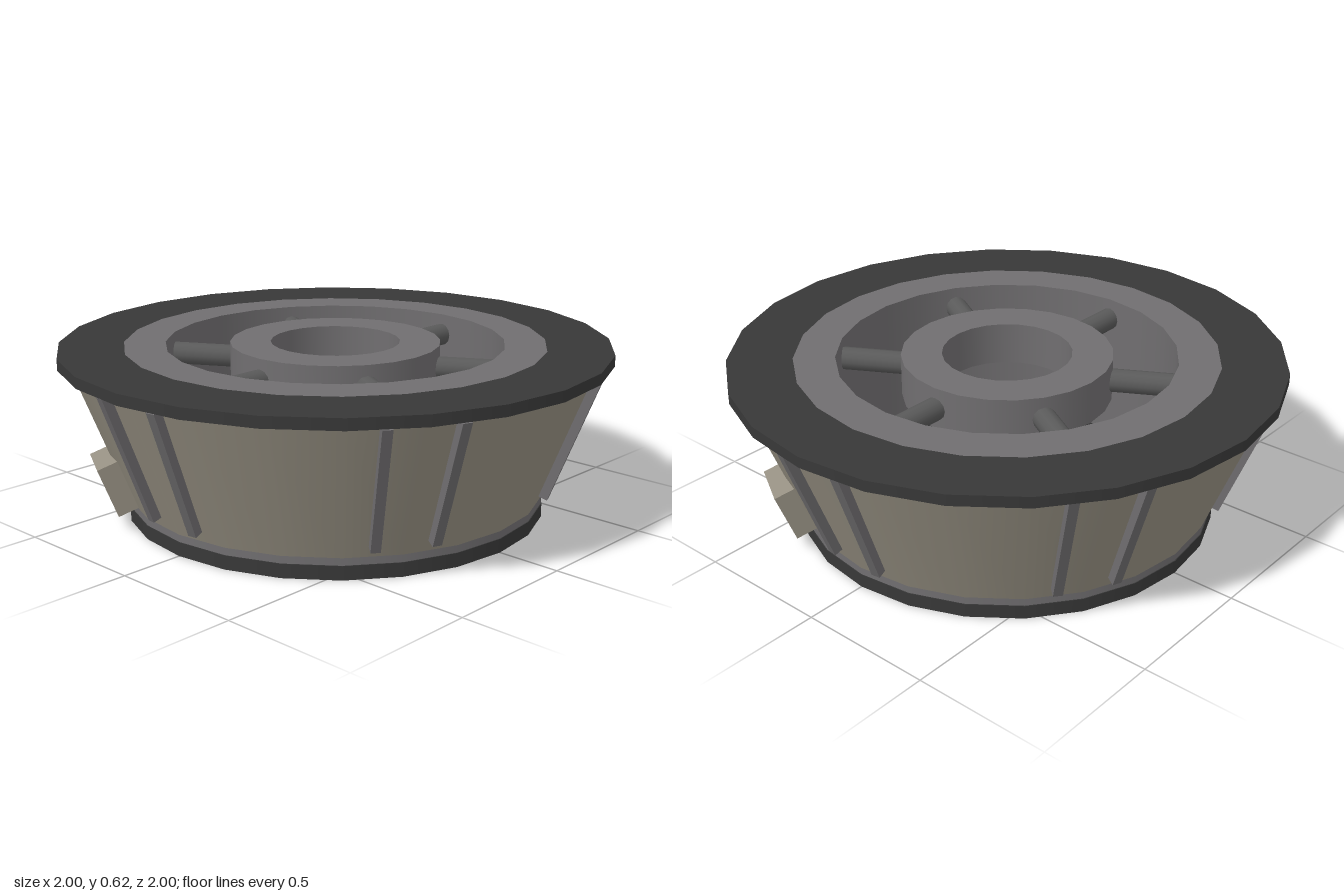
import * as THREE from 'three';
import { mergeGeometries } from 'three/addons/utils/BufferGeometryUtils.js';

const SIDES = 24;
const mat = (name, color) => new THREE.MeshStandardMaterial({ name, color });

// Closed turned ring: each profile edge is its own lathe, so corners stay sharp.
// Profile is [radius, y], running counterclockwise.
function ring(profile) {
  return mergeGeometries(profile.map((p, i) => {
    const q = profile[(i + 1) % profile.length];
    return new THREE.LatheGeometry([new THREE.Vector2(...p), new THREE.Vector2(...q)], SIDES);
  }));
}
const washer = (inner, outer, y0, y1) => ring([[inner, y0], [outer, y0], [outer, y1], [inner, y1]]);

export function createModel() {
  const model = new THREE.Group();
  const dark = mat('darkRim', 0x383838);
  const grey = mat('grey', 0x706e70);
  const spokeGrey = mat('spokeGrey', 0x5a5a5a);
  const beige = mat('beigeHull', 0x969082);

  const add = (name, geometry, material, parent = model) => {
    const mesh = new THREE.Mesh(geometry, material);
    mesh.name = name;
    parent.add(mesh);
    return mesh;
  };

  // Rims, tapered shell, inner liner and hub
  add('bottomRim', washer(0.612, 0.768, 0, 0.05), dark);
  add('topRim', washer(0.765, 1, 0.575, 0.615), dark);
  add('innerLiner', washer(0.615, 0.765, 0.05, 0.615), grey);
  add('taperedShell', ring([[0.7, 0.05], [0.755, 0.05], [0.955, 0.575], [0.7, 0.575]]), beige);
  add('hub', washer(0.235, 0.382, 0.458, 0.615), grey);

  // Spokes
  const spoke = new THREE.CylinderGeometry(0.042, 0.042, 0.3, 12).rotateX(Math.PI / 2);
  for (let i = 0; i < 6; i++) {
    const arm = new THREE.Group();
    arm.name = 'spokeArm';
    arm.rotation.y = i * Math.PI / 3;
    add('spoke', spoke, spokeGrey, arm).position.set(0, 0.535, 0.49);
    model.add(arm);
  }

  // Parts lying on the sloping shell
  const tilt = Math.atan2(0.2, 0.525);
  const onShell = (name, geometry, material, degrees, y, lift) => {
    const holder = new THREE.Group();
    holder.name = name + 'Holder';
    holder.rotation.y = THREE.MathUtils.degToRad(degrees);
    const mesh = add(name, geometry, material, holder);
    mesh.position.set(0, y, 0.755 + (y - 0.05) * 0.381 + lift);
    mesh.rotation.x = tilt;
    model.add(holder);
  };

  // Paired ribs in line with the spokes
  const rib = new THREE.BoxGeometry(0.034, 0.495, 0.045);
  for (let i = 0; i < 6; i++) {
    for (const side of [-7.5, 7.5]) onShell('rib', rib, grey, i * 60 + side, 0.345, 0.004);
  }

  // Two opposite boxes low on the shell
  const box = new THREE.BoxGeometry(0.2, 0.19, 0.09);
  for (const degrees of [-30, 150]) onShell('sideBox', box, beige, degrees, 0.16, 0.02);

  return model;
}
